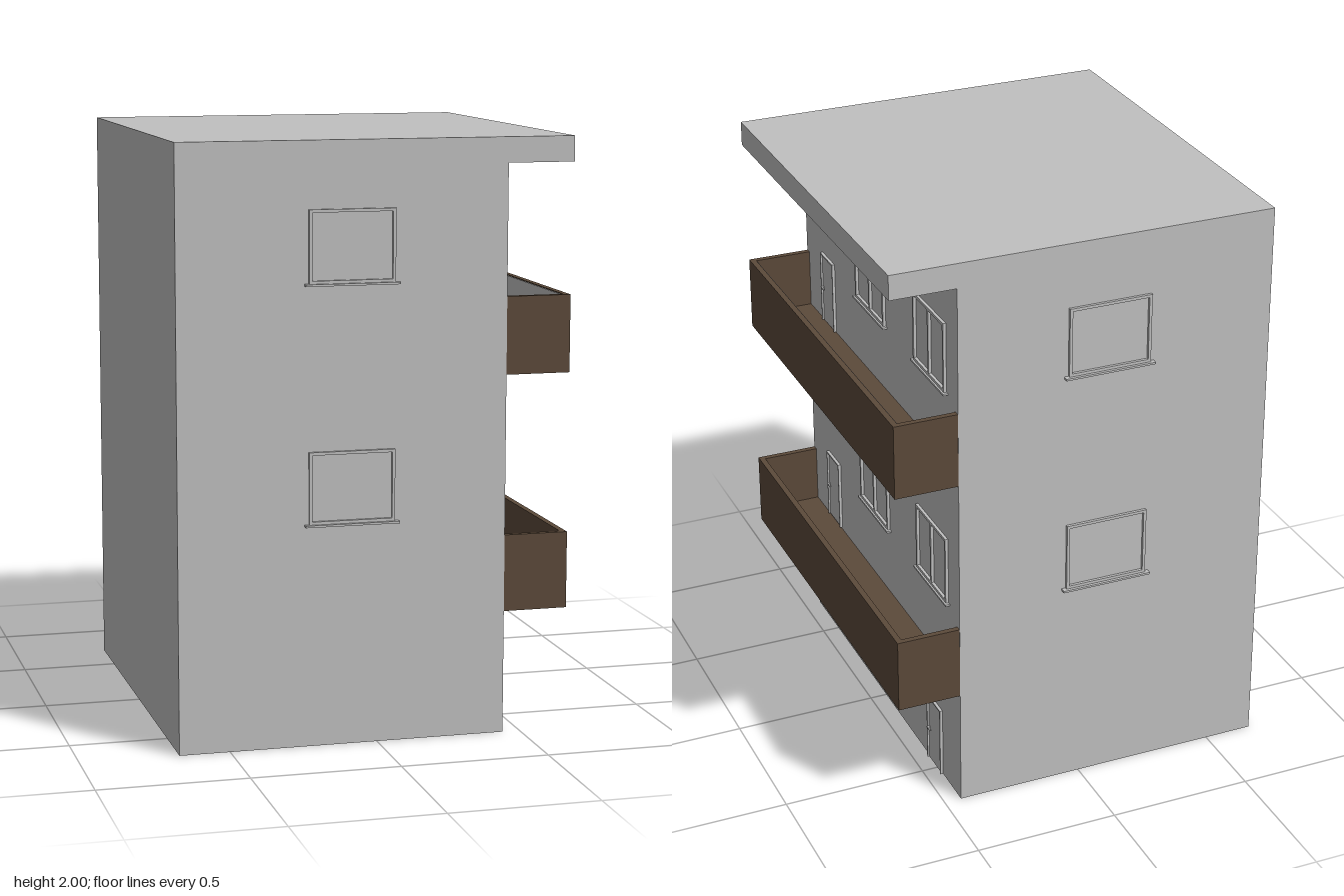
import * as THREE from 'three';

export function createModel() {
  const model = new THREE.Group();
  model.name = 'apartmentBlock';
  const plaster = new THREE.MeshStandardMaterial({ name: 'greyPlaster', color: 0xc0c0c0 });
  const brown = new THREE.MeshStandardMaterial({ name: 'brownCladding', color: 0x5c4a3a });

  const WALL_X = 0.44, HALF_Z = 0.705;

  // Box given by its lower and upper limits
  function box(parent, name, mat, x0, x1, y0, y1, z0, z1) {
    const mesh = new THREE.Mesh(new THREE.BoxGeometry(x1 - x0, y1 - y0, z1 - z0), mat);
    mesh.position.set((x0 + x1) / 2, (y0 + y1) / 2, (z0 + z1) / 2);
    mesh.name = name;
    parent.add(mesh);
    return mesh;
  }

  // Rectangular frame standing on y = 0, facing +z, with optional mullion
  function frame(parent, w, h, t, d, mullion) {
    box(parent, 'frameLeft', plaster, -w / 2, -w / 2 + t, 0, h, -0.004, d);
    box(parent, 'frameRight', plaster, w / 2 - t, w / 2, 0, h, -0.004, d);
    box(parent, 'frameTop', plaster, -w / 2 + t, w / 2 - t, h - t, h, -0.004, d);
    if (mullion) box(parent, 'mullion', plaster, -t / 2, t / 2, 0, h - t, -0.004, d);
  }

  function makeWindow(w, h, sillW, sillD, mullion) {
    const g = new THREE.Group();
    g.name = 'window';
    frame(g, w, h, 0.01, 0.01, mullion);
    box(g, 'frameBottom', plaster, -w / 2 + 0.01, w / 2 - 0.01, 0, 0.01, -0.004, 0.01);
    box(g, 'sill', plaster, -sillW / 2, sillW / 2, -0.007, 0, -0.004, sillD);
    return g;
  }

  function makeDoor() {
    const g = new THREE.Group();
    g.name = 'door';
    frame(g, 0.123, 0.26, 0.006, 0.01, false);
    box(g, 'doorLeaf', plaster, -0.055, 0.055, 0, 0.254, -0.004, 0.004);
    box(g, 'handleStem', plaster, -0.05, -0.044, 0.127, 0.133, 0.004, 0.014);
    box(g, 'handleLever', plaster, -0.05, -0.024, 0.127, 0.133, 0.01, 0.015);
    return g;
  }

  // Place a part on the balcony side, facing +x
  function onSide(part, y, z) {
    part.rotation.y = Math.PI / 2;
    part.position.set(WALL_X, y, z);
    model.add(part);
  }

  // Building body and overhanging roof in one profile
  const profile = new THREE.Shape([
    [-0.67, 0], [WALL_X, 0], [WALL_X, 1.915], [0.667, 1.915], [0.667, 2], [-0.67, 2],
  ].map(([x, y]) => new THREE.Vector2(x, y)));
  const bodyGeo = new THREE.ExtrudeGeometry(profile, { depth: HALF_Z * 2, bevelEnabled: false });
  bodyGeo.translate(0, 0, -HALF_Z);
  const body = new THREE.Mesh(bodyGeo, plaster);
  body.name = 'bodyAndRoof';
  model.add(body);

  // Balconies: slab with three parapet walls
  const t = 0.02, outX = 0.66, bz = HALF_Z - 0.001;
  for (const y of [0.417, 1.217]) {
    const g = new THREE.Group();
    g.name = 'balcony';
    box(g, 'balconyFloor', brown, WALL_X, outX, y, y + 0.055, -bz, bz);
    box(g, 'frontParapet', brown, outX - t, outX, y + 0.055, y + 0.26, -bz, bz);
    for (const s of [-1, 1]) {
      const a = s * bz, b = s * (bz - t);
      box(g, 'endParapet', brown, WALL_X, outX - t, y + 0.055, y + 0.26, Math.min(a, b), Math.max(a, b));
    }
    // Plastered lining inside the upper parapet
    if (y > 1) {
      box(g, 'parapetLining', plaster, outX - t - 0.003, outX - t, y + 0.055, y + 0.257, -bz + t, bz - t);
    }
    model.add(g);
  }

  // Windows in the front and back walls
  for (const y of [0.748, 1.538]) {
    for (const s of [1, -1]) {
      const w = makeWindow(0.29, 0.24, 0.318, 0.02, false);
      w.position.set(-0.088, y, s * HALF_Z);
      if (s < 0) w.rotation.y = Math.PI;
      model.add(w);
    }
  }

  // Windows and doors behind the balconies
  for (const [winY, doorY] of [[0.729, 0.48], [1.513, 1.275]]) {
    for (const z of [0.057, -0.477]) onSide(makeWindow(0.265, 0.243, 0.286, 0.016, true), winY, z);
    onSide(makeDoor(), doorY, 0.48);
  }

  // Street door
  onSide(makeDoor(), 0, -0.483);

  return model;
}
